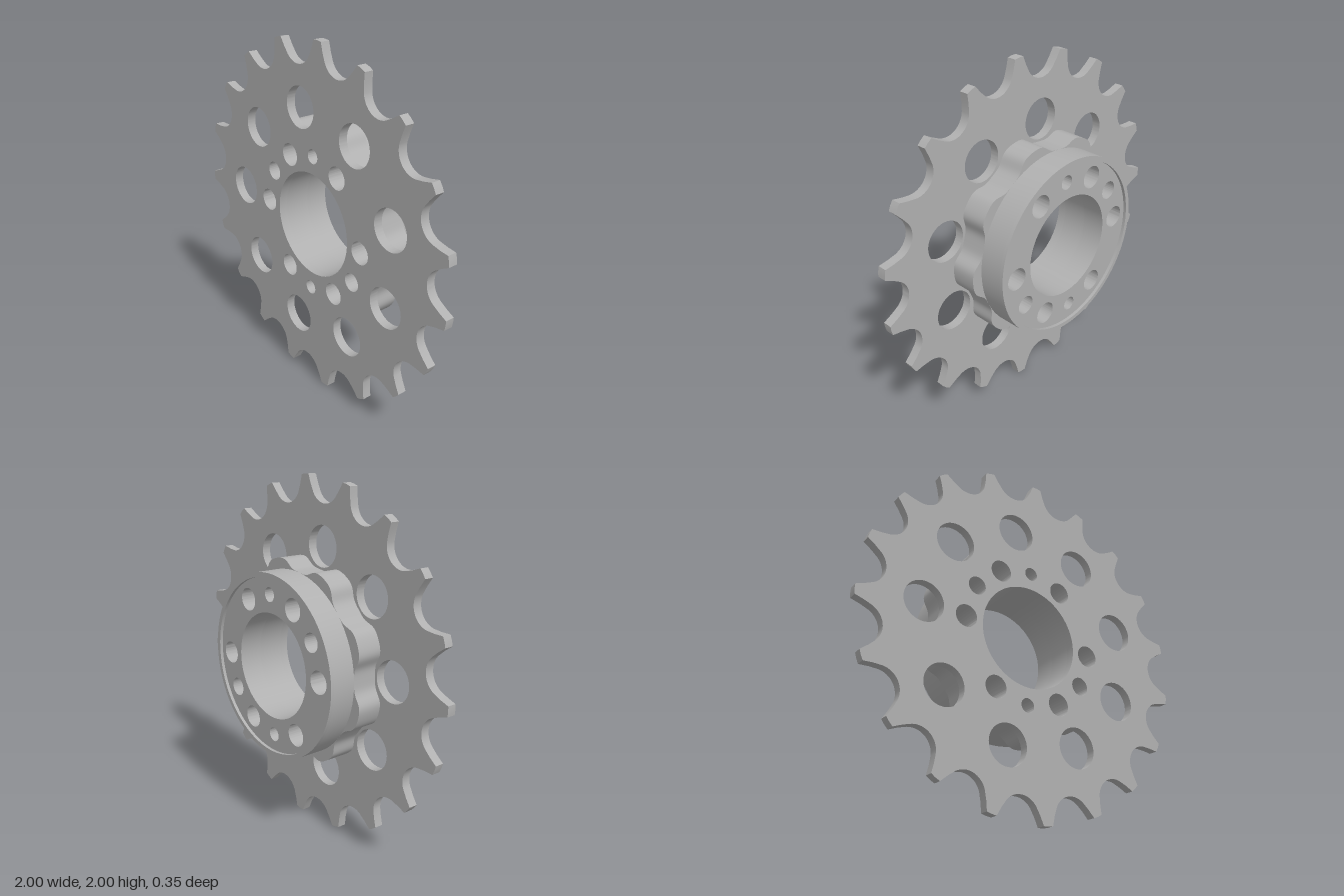
import * as THREE from 'three';
import { toCreasedNormals } from 'three/addons/utils/BufferGeometryUtils.js';

const TEETH = 19;
const rad = THREE.MathUtils.degToRad;
const polar = (r, a) => new THREE.Vector2(r * Math.cos(a), r * Math.sin(a));

function circle(cx, cy, r, Type = THREE.Path) {
  const path = new Type();
  path.absarc(cx, cy, r, 0, Math.PI * 2, false);
  return path;
}

// Toothed outline: a round roller seat between each pair of narrow tips
function toothedShape() {
  const half = [];
  for (let i = 0; i <= 8; i++) {
    const a = rad(-90 + 52 * i / 8);
    half.push([0.11 * Math.cos(a), 0.972 + 0.11 * Math.sin(a)]);
  }
  half.push([0.113, 0.945], [0.137, 0.991]);
  const seat = [...half.slice(1).reverse().map(([u, v]) => [-u, v]), ...half];
  const points = [];
  for (let t = 0; t < TEETH; t++) {
    const a = rad(86.3) + (t + 0.5) * 2 * Math.PI / TEETH;
    for (const [u, v] of seat) points.push(polar(Math.hypot(u, v), a + Math.atan2(u, v)));
    points.push(polar(1.002, a + Math.PI / TEETH));
  }
  return new THREE.Shape(points);
}

// Hub outline with nine lobes, scalloped around the large plate holes
function lobedShape() {
  const points = [];
  for (let i = 0; i < 270; i++) {
    const a = i * Math.PI * 2 / 270;
    const wave = Math.tanh(1.6 * Math.cos(9 * (a - rad(97.6)))) / Math.tanh(1.6);
    points.push(polar(0.543 - 0.03 * wave, a));
  }
  return new THREE.Shape(points);
}

// Centre bore plus the ring of bolt and pin holes
function mountingHoles() {
  const sizes = [0.04, 0.063, 0, 0.063, 0.052, 0.063];
  const holes = [circle(0, 0, 0.295)];
  for (let i = 0; i < 12; i++) {
    const r = sizes[i % 6];
    if (!r) continue;
    const p = polar(0.394, rad(87.7 - 30 * i));
    holes.push(circle(p.x, p.y, r));
  }
  return holes;
}

// Large lightening holes in the plate
function lighteningHoles() {
  return Array.from({ length: 9 }, (_, i) => {
    const p = polar(0.639, rad(97.6 + 40 * i));
    return circle(p.x, p.y, 0.113);
  });
}

export function createModel() {
  const group = new THREE.Group();
  const steel = new THREE.MeshStandardMaterial({ color: 0xb0b0b0 });
  steel.name = 'steel grey';

  function slab(name, shape, holes, z0, z1) {
    shape.holes.push(...holes);
    const geometry = new THREE.ExtrudeGeometry(shape, {
      depth: z1 - z0, bevelEnabled: false, curveSegments: 48,
    });
    const mesh = new THREE.Mesh(toCreasedNormals(geometry, 0.45), steel);
    mesh.name = name;
    mesh.position.set(0, 1, z0);
    group.add(mesh);
  }

  slab('toothedPlate', toothedShape(), [...mountingHoles(), ...lighteningHoles()], 0.122, 0.173);
  slab('lobedHub', lobedShape(), mountingHoles(), -0.022, 0.122);
  slab('rearHub', circle(0, 0, 0.513, THREE.Shape), mountingHoles(), -0.155, -0.022);
  // Thin raised rim around the recessed rear face
  slab('rearRim', circle(0, 0, 0.513, THREE.Shape), [circle(0, 0, 0.488)], -0.173, -0.155);

  return group;
}
